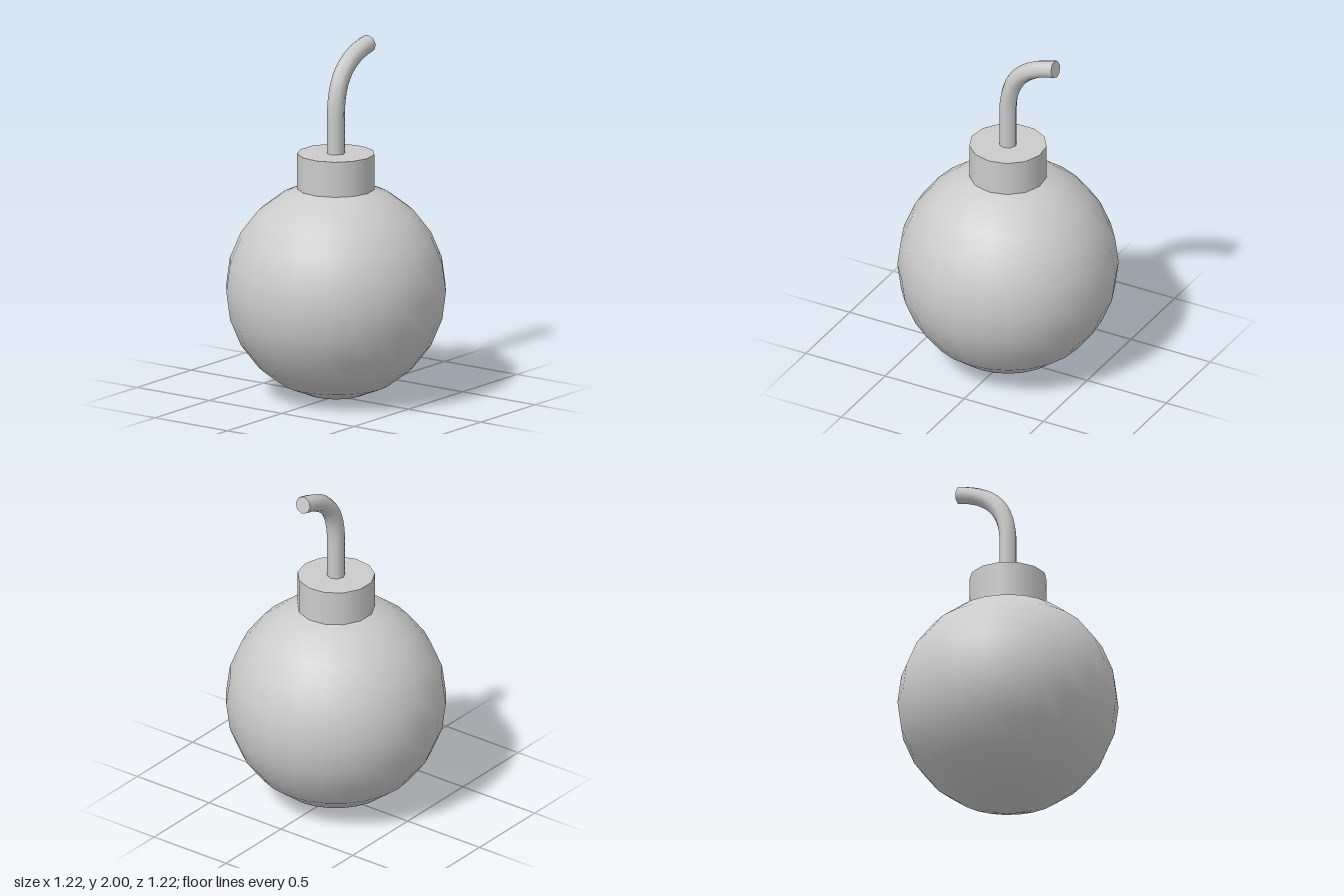
import * as THREE from 'three';

export function createModel() {
  const group = new THREE.Group();
  const material = new THREE.MeshStandardMaterial({ color: 0xcccccc });
  const add = (name, geometry, y = 0) => {
    const mesh = new THREE.Mesh(geometry, material);
    mesh.name = name;
    mesh.position.y = y;
    group.add(mesh);
    return mesh;
  };

  // Round body
  add('body', new THREE.SphereGeometry(0.612, 24, 12), 0.612);

  // Thirteen-sided collar with a corner pointing to +x
  const collar = add('collar', new THREE.CylinderGeometry(0.215, 0.215, 0.2, 13), 1.284);
  collar.rotation.y = Math.PI / 2;

  // Fuse: straight stem that bends backwards
  const point = (y, z) => new THREE.Vector3(0, y, z);
  const path = new THREE.CurvePath();
  path.add(new THREE.LineCurve3(point(1.36, 0), point(1.6, 0)));
  path.add(new THREE.CubicBezierCurve3(point(1.6, 0), point(1.83, 0), point(1.916, -0.12), point(1.951, -0.3)));
  add('fuse', new THREE.TubeGeometry(path, 20, 0.05, 8));

  // Flat end of the fuse
  const tip = add('fuseTip', new THREE.CircleGeometry(0.05, 8));
  tip.position.copy(path.getPointAt(1));
  tip.lookAt(tip.position.clone().add(path.getTangentAt(1)));

  return group;
}
